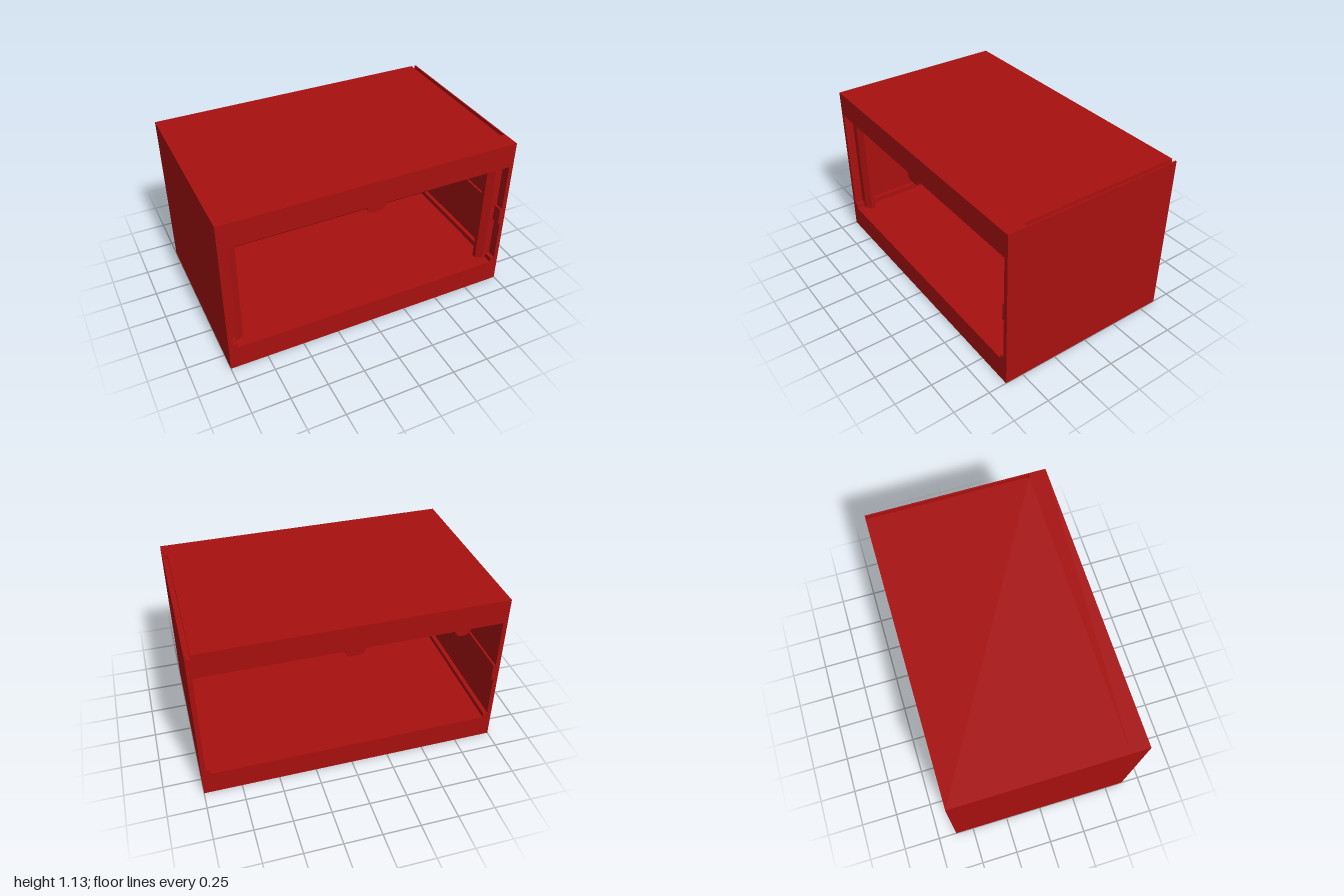
import * as THREE from 'three';

export function createModel() {
  const model = new THREE.Group();
  const red = new THREE.MeshStandardMaterial({ color: 0xa81010, flatShading: true });
  const redDouble = red.clone();
  redDouble.side = THREE.DoubleSide;

  const H = 1.13, D = 0.625, FLOOR = 0.165, CEIL = 0.96, IN = 0.97;

  const add = (name, geometry, material = red) => {
    const mesh = new THREE.Mesh(geometry, material);
    mesh.name = name;
    model.add(mesh);
    return mesh;
  };
  const box = (name, x0, x1, y0, y1, z0, z1) =>
    add(name, new THREE.BoxGeometry(x1 - x0, y1 - y0, z1 - z0))
      .position.set((x0 + x1) / 2, (y0 + y1) / 2, (z0 + z1) / 2);
  const extrude = (shape, z0, z1) =>
    new THREE.ExtrudeGeometry(shape, { depth: z1 - z0, bevelEnabled: false, curveSegments: 6 })
      .translate(0, 0, z0);

  // Cross-section of the case: thick top and floor, thin sides, stepped runners
  const shellShape = (grooved) => {
    const s = new THREE.Shape();
    s.moveTo(-1, 0).lineTo(1, 0).lineTo(1, H);
    if (grooved) s.lineTo(0.99, H).lineTo(0.99, H - 0.03).lineTo(0.965, H - 0.03).lineTo(0.965, H);
    s.lineTo(-1, H).closePath();
    const hole = new THREE.Path();
    hole.moveTo(-0.94, FLOOR).lineTo(-0.94, 0.2).lineTo(-IN, 0.2).lineTo(-IN, CEIL);
    hole.lineTo(IN, CEIL).lineTo(IN, 0.2).lineTo(0.94, 0.2).lineTo(0.94, FLOOR).closePath();
    s.holes.push(hole);
    return s;
  };
  add('shellFront', extrude(shellShape(false), 0.5, D));
  add('shellRear', extrude(shellShape(true), -D, 0.5));

  // Rounded ridge down the middle of the ceiling
  const ridge = new THREE.Shape();
  ridge.moveTo(0.065, CEIL + 0.01).lineTo(-0.065, CEIL + 0.01).lineTo(-0.06, 0.94);
  ridge.quadraticCurveTo(-0.05, 0.915, -0.02, 0.915).lineTo(0.02, 0.915);
  ridge.quadraticCurveTo(0.05, 0.915, 0.06, 0.94).closePath();
  add('ceilingRidge', extrude(ridge, -D, D));

  // Second ceiling rail, set to one side
  const rail = new THREE.Shape();
  rail.moveTo(-0.66, CEIL + 0.01).lineTo(-0.78, CEIL + 0.01).lineTo(-0.77, 0.91);
  rail.lineTo(-0.74, 0.885).lineTo(-0.7, 0.885).lineTo(-0.67, 0.91).closePath();
  add('ceilingRail', extrude(rail, -D + 0.04, 0.5));

  // Half-length side rails, one from each end
  box('leftSideRail', 0.955, IN + 0.01, 0.5, 0.62, 0.04, D);
  box('rightSideRail', -IN - 0.01, -0.955, 0.5, 0.62, -D, -0.04);

  // Mitred, bevelled frame just inside the front opening
  const rings = [
    [IN, CEIL, D - 0.06], [0.92, 0.92, D - 0.06], [0.875, 0.88, D - 0.09],
    [0.875, 0.88, D - 0.12], [IN, CEIL, D - 0.12],
  ].map(([r, t, z]) => [[-r, FLOOR, z], [-r, t, z], [r, t, z], [r, FLOOR, z]]);
  const positions = [];
  for (let i = 0; i < rings.length - 1; i++) {
    for (let j = 0; j < 3; j++) {
      const a = rings[i][j], b = rings[i][j + 1], c = rings[i + 1][j + 1], d = rings[i + 1][j];
      positions.push(...a, ...d, ...c, ...a, ...c, ...b);
    }
  }
  // reversed winding so the normals face the viewer in front of the opening
  for (let k = 0; k < positions.length; k += 9) {
    const p = positions.slice(k + 3, k + 6);
    for (let m = 0; m < 3; m++) {
      positions[k + 3 + m] = positions[k + 6 + m];
      positions[k + 6 + m] = p[m];
    }
  }
  const frame = new THREE.BufferGeometry();
  frame.setAttribute('position', new THREE.Float32BufferAttribute(positions, 3));
  frame.computeVertexNormals();
  add('frontFrame', frame, redDouble);

  return model;
}
